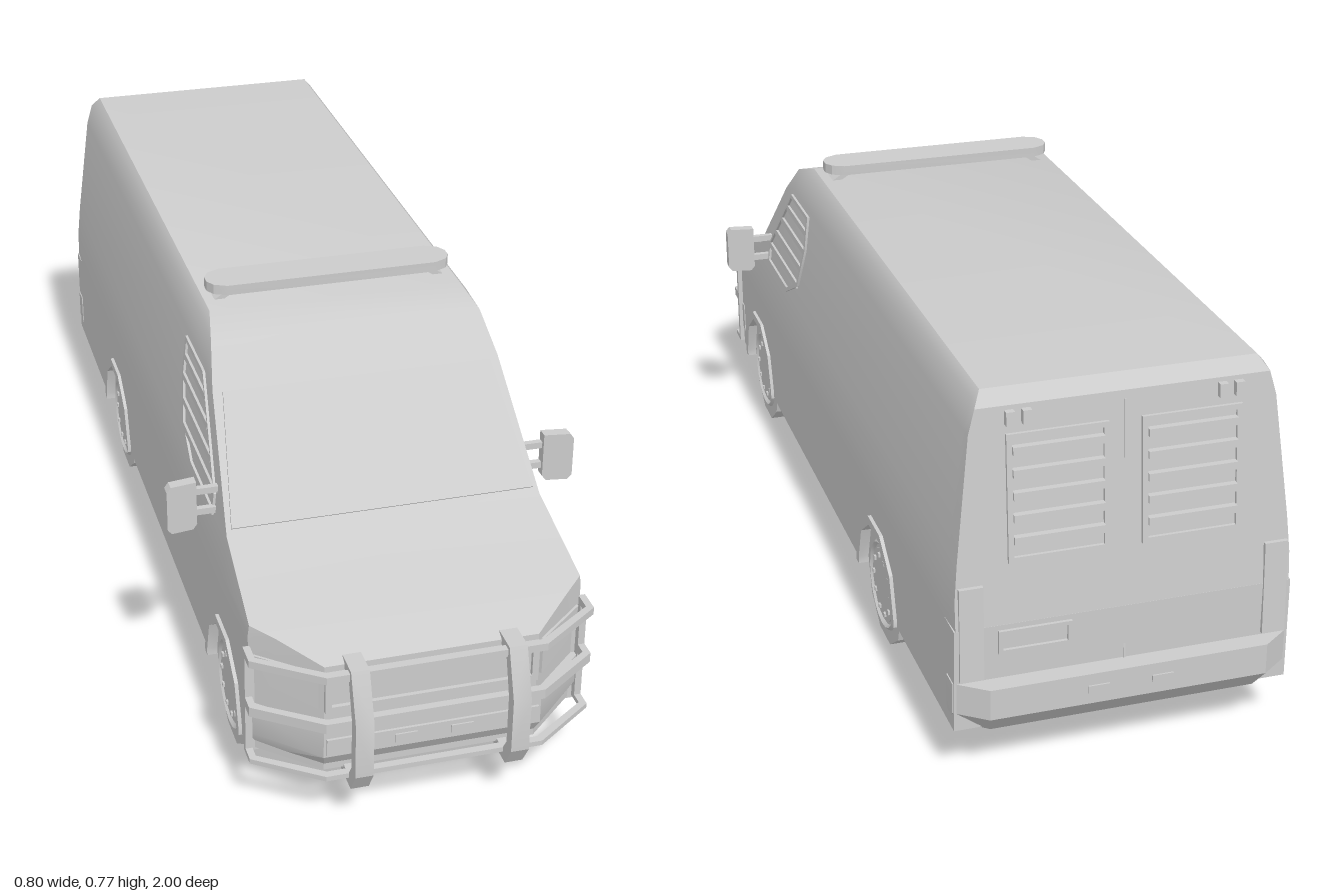
import * as THREE from 'three';
import { toCreasedNormals } from 'three/addons/utils/BufferGeometryUtils.js';
import { ConvexGeometry } from 'three/addons/geometries/ConvexGeometry.js';

const grey = new THREE.MeshStandardMaterial({ color: 0xcccccc });
const V = (x, y, z) => new THREE.Vector3(x, y, z);

// Half width of the body at a height, and z of the leaning rear face
const PROFILE = [[0, 0.315], [0.36, 0.315], [0.43, 0.306], [0.66, 0.28], [0.715, 0.265], [0.73, 0.252]];
function halfWidth(y) {
  for (let i = 1; i < PROFILE.length; i++) {
    const [y0, w0] = PROFILE[i - 1], [y1, w1] = PROFILE[i];
    if (y <= y1) return w0 + (w1 - w0) * (y - y0) / (y1 - y0);
  }
  return 0.252;
}
const rearZ = (y) => -0.96 + Math.max(0, y - 0.3) * 0.09;

// Extruded outline whose vertices are then placed by a rule
function panel(pts, depth, place, hole) {
  const shape = new THREE.Shape(pts.map((p) => new THREE.Vector2(...p)));
  if (hole) shape.holes.push(new THREE.Path(hole.map((p) => new THREE.Vector2(...p))));
  const g = new THREE.ExtrudeGeometry(shape, { depth, bevelEnabled: false });
  const a = g.attributes.position;
  for (let i = 0; i < a.count; i++) a.setXYZ(i, ...place(a.getX(i), a.getY(i), a.getZ(i)));
  return g;
}
const onSide = (off) => (x, y, z) => [halfWidth(y) + off + z, y, -x];
const onRear = (off) => (x, y, z) => [-x, y, rearZ(y) - off - z];
const atX = (x0) => (x, y, z) => [x0 + z, y, -x];
const plan = (y0) => (x, y, z) => [x, y0 - z, y];
const rect = (x0, x1, y0, y1) => [[x0, y0], [x1, y0], [x1, y1], [x0, y1]];
const hull = (pts) => new ConvexGeometry(pts);
const box = (w, h, d, x, y, z) => new THREE.BoxGeometry(w, h, d).translate(x, y, z);

// Mirror a geometry across x = 0, keeping faces outward
function mirrored(geo) {
  const g = geo.index ? geo.toNonIndexed() : geo.clone();
  const a = g.attributes.position;
  for (let i = 0; i < a.count; i += 3) {
    const t = [0, 2, 1].map((k) => V(-a.getX(i + k), a.getY(i + k), a.getZ(i + k)));
    t.forEach((p, k) => a.setXYZ(i + k, p.x, p.y, p.z));
  }
  return g;
}

// Upper body: cross-sections clipped to the hood, windshield and roof line
function upperBody() {
  const stations = [[0.925, 0.335, 0.2], [0.865, 0.368, 0.273], [0.83, 0.38, 0.315], [0.63, 0.44, 0.315],
    [0.43, 0.64, 0.315], [0.36, 0.705, 0.315], [0.28, 0.73, 0.315], [-0.9, 0.73, 0.315], [null, 0.705, 0.312]];
  const levels = [0.3, 0.36, 0.43, 0.66, 0.715, 0.73];
  const rings = stations.map(([z, h, w]) => {
    const half = levels.map((l) => {
      const y = Math.min(l, h);
      return V(Math.min(halfWidth(y), w), y, z === null ? rearZ(y) : z);
    });
    return [...half, ...half.map((p) => V(-p.x, p.y, p.z)).reverse()];
  });
  const out = [];
  const tri = (a, b, c) => {
    const area = b.clone().sub(a).cross(c.clone().sub(a)).length();
    if (area > 1e-7) [a, b, c].forEach((p) => out.push(p.x, p.y, p.z));
  };
  const n = levels.length * 2;
  for (let i = 0; i + 1 < rings.length; i++) {
    for (let j = 0; j + 1 < n; j++) {
      const a = rings[i][j], b = rings[i][j + 1], c = rings[i + 1][j + 1], d = rings[i + 1][j];
      tri(a, d, c);
      tri(a, c, b);
    }
  }
  const front = rings[0], back = rings[rings.length - 1];
  for (let k = 1; k + 1 < n; k++) {
    tri(front[0], front[k], front[k + 1]);
    tri(back[0], back[k + 1], back[k]);
  }
  const g = new THREE.BufferGeometry();
  g.setAttribute('position', new THREE.Float32BufferAttribute(out, 3));
  return g;
}

// Ten-sided half arc over a wheel, as [-z, y] points from front to back
const arc = (zc, r) => [180, 144, 108, 72, 36, 0].map((d) => {
  const t = d * Math.PI / 180;
  return [-zc + r * Math.cos(t), 0.115 + r * Math.sin(t)];
});
const arch = (zc, r) => [[-zc - r, 0.1], ...arc(zc, r), [-zc + r, 0.1]];

// Bar bent around the nose, seen from above
function rail(y, height) {
  const half = [[0.325, 0.83], [0.325, 0.875], [0.205, 0.96]];
  const inner = [[0.312, 0.83], [0.312, 0.868], [0.2, 0.945]];
  const flip = (p) => [-p[0], p[1]];
  return panel([...half, ...half.map(flip).reverse(), ...inner.map(flip), ...inner.slice().reverse()], height, plan(y));
}

export function createModel() {
  const group = new THREE.Group();
  const add = (name, geo) => {
    const flat = geo.index ? geo.toNonIndexed() : geo;
    const mesh = new THREE.Mesh(toCreasedNormals(flat, 0.5), grey);
    mesh.name = name;
    group.add(mesh);
  };
  const pair = (name, geo) => {
    add(name + 'Left', geo);
    add(name + 'Right', mirrored(geo));
  };
  const axles = [0.635, -0.445];

  // Body shell
  add('upperBody', upperBody());
  add('floorCore', box(0.42, 0.2, 1.79, 0, 0.205, -0.065));
  const sill = [[-0.83, 0.105], ...arch(axles[0], 0.125), ...arch(axles[1], 0.125), [0.96, 0.105], [0.96, 0.305], [-0.83, 0.305]];
  pair('lowerSide', panel(sill, 0.115, atX(0.2)));
  const nose = [];
  for (const s of [1, -1]) for (const y of [0.11, 0.31]) nose.push(V(s * 0.315, y, 0.82), V(s * 0.2, y, 0.925));
  add('nose', hull(nose));

  // Windshield
  const glass = [];
  for (const s of [1, -1]) for (const o of [0.003, -0.004]) {
    glass.push(V(s * 0.294, 0.45 + o, 0.62 + o), V(s * 0.264, 0.635 + o, 0.435 + o));
  }
  add('windshield', hull(glass));

  // Slatted side windows
  const frame = [[-0.53, 0.43], [-0.34, 0.43], [-0.25, 0.475], [-0.21, 0.57], [-0.21, 0.647], [-0.365, 0.647], [-0.53, 0.475]];
  const opening = frame.map(([x, y]) => [-0.36 + (x + 0.36) * 0.93, 0.54 + (y - 0.54) * 0.92]);
  pair('sideWindowFrame', panel(frame, 0.007, onSide(-0.002), opening));
  const slats = [[0.475, 0.523, 0.255], [0.52, 0.48, 0.235], [0.565, 0.435, 0.217], [0.607, 0.395, 0.215]];
  for (const [y, z0, z1] of slats) pair('sideWindowSlat', panel(rect(-z0, -z1, y - 0.006, y + 0.006), 0.007, onSide(-0.002)));

  // Wheels and arches
  for (const z of axles) {
    pair('wheelArch', panel([...arch(z, 0.14), ...arch(z, 0.122).reverse()], 0.03, atX(0.292)));
    const disc = (r, x0, x1, n) => new THREE.CylinderGeometry(r, r, x1 - x0, n).rotateZ(-Math.PI / 2).translate((x0 + x1) / 2, 0.115, z);
    pair('tyre', disc(0.121, 0.217, 0.302, 10));
    const ring = new THREE.TorusGeometry(0.086, 0.006, 4, 20).rotateY(Math.PI / 2).translate(0.302, 0.115, z);
    pair('rimRing', ring);
    pair('hub', disc(0.074, 0.29, 0.305, 20));
    for (let i = 0; i < 10; i++) {
      const t = i * Math.PI / 5;
      pair('wheelNut', box(0.008, 0.008, 0.008, 0.305, 0.115 + 0.06 * Math.sin(t), z + 0.06 * Math.cos(t)));
    }
  }

  // Mirrors on twin arms
  pair('mirror', panel([[0.342, 0.425], [0.35, 0.415], [0.392, 0.415], [0.4, 0.425], [0.4, 0.505], [0.392, 0.515], [0.342, 0.515]], 0.022, (x, y, z) => [x, y, z + 0.524 + (x - 0.34) * 0.15]));
  for (const y of [0.445, 0.489]) pair('mirrorArm', box(0.065, 0.013, 0.012, 0.32, y, 0.532));

  // Roof light bar
  const bar = [[0.21, 0.175], [0.235, 0.187], [0.245, 0.205], [0.245, 0.225], [0.235, 0.243], [0.21, 0.255]];
  add('lightBar', panel([...bar, ...bar.map(([x, z]) => [-x, z]).reverse()], 0.02, plan(0.766)));
  pair('lightBarFoot', panel([[0.215, 0.728], [0.235, 0.728], [0.205, 0.747], [0.185, 0.747]], 0.04, (x, y, z) => [x, y, z + 0.195]));

  // Front bumper with lamps
  const bumper = [];
  for (const s of [1, -1]) {
    for (const y of [0.15, 0.21]) bumper.push(V(s * 0.317, y, 0.81), V(s * 0.317, y, 0.835), V(s * 0.205, y, 0.942));
    bumper.push(V(s * 0.305, 0.1, 0.81), V(s * 0.195, 0.1, 0.91));
  }
  add('frontBumper', hull(bumper));
  add('bumperPanel', box(0.4, 0.035, 0.012, 0, 0.173, 0.941));
  pair('bumperLamp', box(0.042, 0.017, 0.012, 0.053, 0.173, 0.944));

  // Grille and headlights
  for (const y of [0.245, 0.317]) add('grilleBar', box(0.4, 0.012, 0.012, 0, y, 0.927));
  pair('grilleEnd', box(0.012, 0.08, 0.012, 0.194, 0.281, 0.927));
  const lamp = [];
  for (const [x, y] of [[0.207, 0.245], [0.207, 0.32], [0.306, 0.322], [0.28, 0.265]]) {
    for (const o of [-0.01, 0.005]) lamp.push(V(x + o * 0.6, y, 0.925 - (x - 0.2) * 0.826 + o * 0.8));
  }
  pair('headlight', hull(lamp));

  // Bull bar
  const upright = [[-0.91, 0.345], [-0.965, 0.345], [-1, 0.25], [-1, 0.14], [-0.972, 0.095], [-0.91, 0.095],
    [-0.91, 0.115], [-0.955, 0.115], [-0.975, 0.145], [-0.975, 0.245], [-0.95, 0.325], [-0.91, 0.325]];
  pair('bullBarUpright', panel(upright.reverse(), 0.034, atX(0.129)));
  for (const [y, h] of [[0.337, 0.015], [0.236, 0.02], [0.121, 0.01]]) add('bullBarRail', rail(y, h));
  pair('bullBarEnd', box(0.013, 0.22, 0.014, 0.3185, 0.224, 0.837));

  // Rear bumper with lamps
  const rear = [];
  for (const s of [1, -1]) {
    for (const y of [0.14, 0.2]) rear.push(V(s * 0.317, y, -0.92), V(s * 0.317, y, -0.955), V(s * 0.26, y, -0.997));
    rear.push(V(s * 0.31, 0.1, -0.915), V(s * 0.25, 0.1, -0.965));
  }
  add('rearBumper', hull(rear));
  pair('rearBumperLamp', box(0.04, 0.014, 0.008, 0.06, 0.17, -0.996));

  // Rear doors: slatted windows, tail lights, hinges and plate
  pair('rearWindowFrame', panel(rect(0.03, 0.215, 0.42, 0.655), 0.008, onRear(-0.002), rect(0.04, 0.205, 0.43, 0.645)));
  for (let i = 0; i < 5; i++) {
    const y = 0.455 + i * 0.041;
    pair('rearWindowSlat', panel(rect(0.04, 0.205, y, y + 0.014), 0.014, onRear(-0.002)));
  }
  pair('tailLight', panel(rect(0.262, 0.306, 0.205, 0.385), 0.01, onRear(-0.002)));
  for (const x of [0.17, 0.2]) pair('hinge', panel(rect(x, x + 0.016, 0.672, 0.697), 0.014, onRear(-0.002)));
  add('plateHolder', panel(rect(-0.235, -0.1, 0.25, 0.295), 0.008, onRear(-0.002), rect(-0.227, -0.108, 0.257, 0.288)));
  add('doorSeam', panel(rect(-0.002, 0.002, 0.2, 0.69), 0.003, onRear(-0.001)));

  return group;
}
